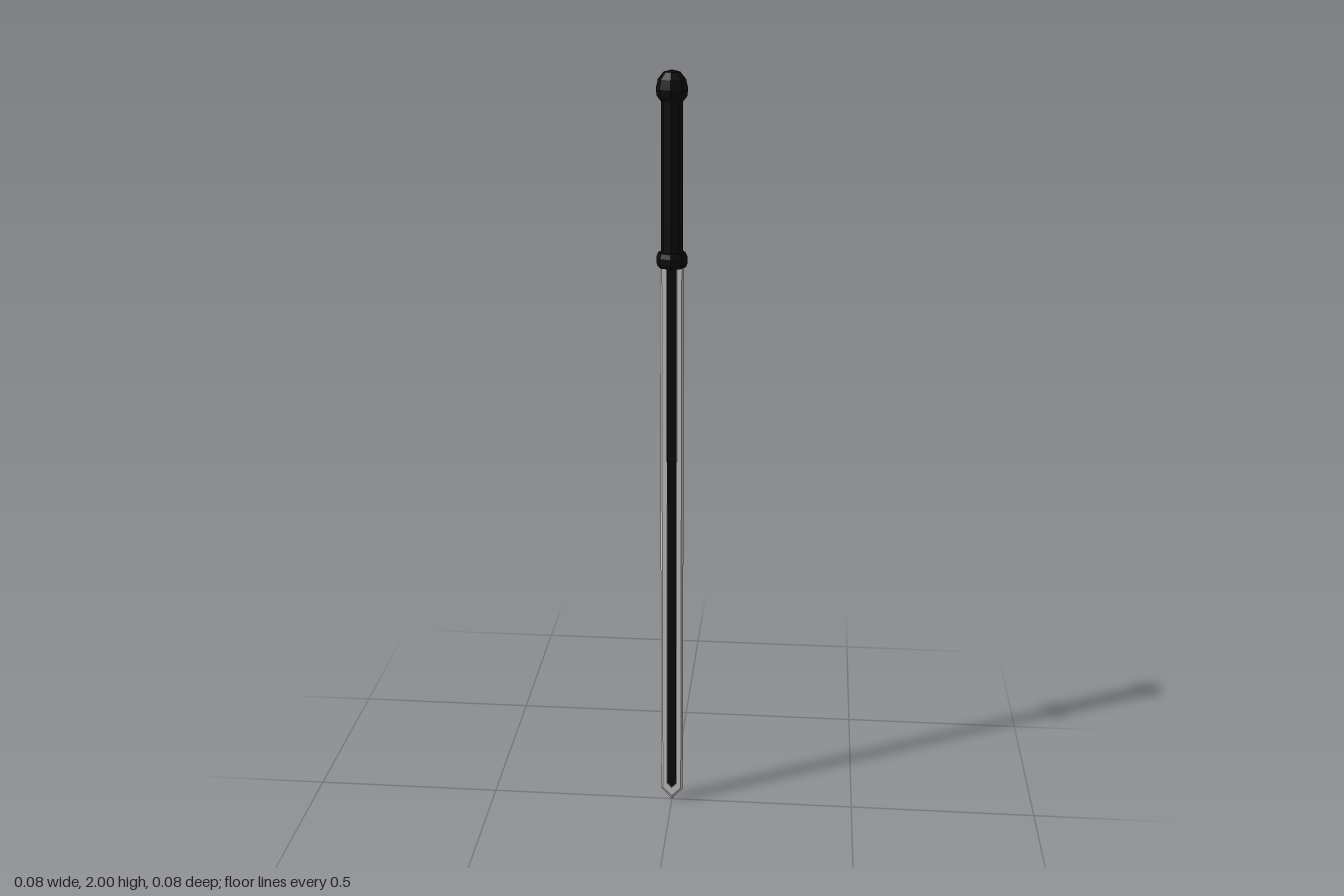
import * as THREE from 'three';

const black = new THREE.MeshStandardMaterial({ color: 0x0c0c0c, flatShading: true, side: THREE.DoubleSide });
const steel = new THREE.MeshStandardMaterial({ color: 0xcccccc, flatShading: true, side: THREE.DoubleSide });

const BLADE_TOP = 1.53;

// Pointed blade outline, counter-clockwise from the upper left
function outline(halfWidth, shoulder, tip, z) {
  return [
    [-halfWidth, BLADE_TOP, z], [-halfWidth, shoulder, z], [0, tip, z],
    [halfWidth, shoulder, z], [halfWidth, BLADE_TOP, z],
  ];
}

function fromTriangles(points) {
  const geometry = new THREE.BufferGeometry();
  geometry.setAttribute('position', new THREE.Float32BufferAttribute(points.flat(), 3));
  geometry.computeVertexNormals();
  return geometry;
}

// Strips joining each outline to the next one inward
function loft(rings) {
  const points = [];
  for (let r = 0; r < rings.length - 1; r++) {
    const outer = rings[r], inner = rings[r + 1];
    for (let i = 0; i < outer.length - 1; i++) {
      points.push(outer[i], outer[i + 1], inner[i + 1], outer[i], inner[i + 1], inner[i]);
    }
  }
  return fromTriangles(points);
}

function fill(ring) {
  const points = [];
  for (let i = 1; i < ring.length - 1; i++) points.push(ring[0], ring[i], ring[i + 1]);
  return fromTriangles(points);
}

// Eight-sided turned part from [radius, height] pairs
function turned(name, profile) {
  const geometry = new THREE.LatheGeometry(profile.map(([r, y]) => new THREE.Vector2(r, y)), 8);
  const mesh = new THREE.Mesh(geometry, black);
  mesh.name = name;
  return mesh;
}

export function createModel() {
  const model = new THREE.Group();
  model.name = 'sword';

  // Blade: sharp edge, bevel, flat, then a shallow dark groove
  const rings = [
    outline(0.03, 0.034, 0, 0),
    outline(0.025, 0.04, 0.014, 0.007),
    outline(0.013, 0.052, 0.038, 0.007),
    outline(0.012, 0.053, 0.04, 0.005),
  ];
  const bladeGeometry = loft(rings);
  const grooveGeometry = fill(rings[3]);
  for (const side of ['front', 'back']) {
    const half = new THREE.Group();
    half.name = side + 'BladeHalf';
    const blade = new THREE.Mesh(bladeGeometry, steel);
    blade.name = side + 'Blade';
    const groove = new THREE.Mesh(grooveGeometry, black);
    groove.name = side + 'Groove';
    half.add(blade, groove);
    if (side === 'back') half.rotation.y = Math.PI;
    model.add(half);
  }

  // Hilt
  model.add(
    turned('guard', [[0, 1.52], [0.035, 1.52], [0.039, 1.53], [0.039, 1.545], [0.034, 1.557], [0, 1.557]]),
    turned('grip', [[0, 1.55], [0.027, 1.55], [0.027, 1.935], [0, 1.935]]),
    turned('pommel', [[0, 1.925], [0.027, 1.925], [0.037, 1.938], [0.039, 1.955], [0.034, 1.978], [0.02, 1.995], [0, 2]]),
  );
  return model;
}
